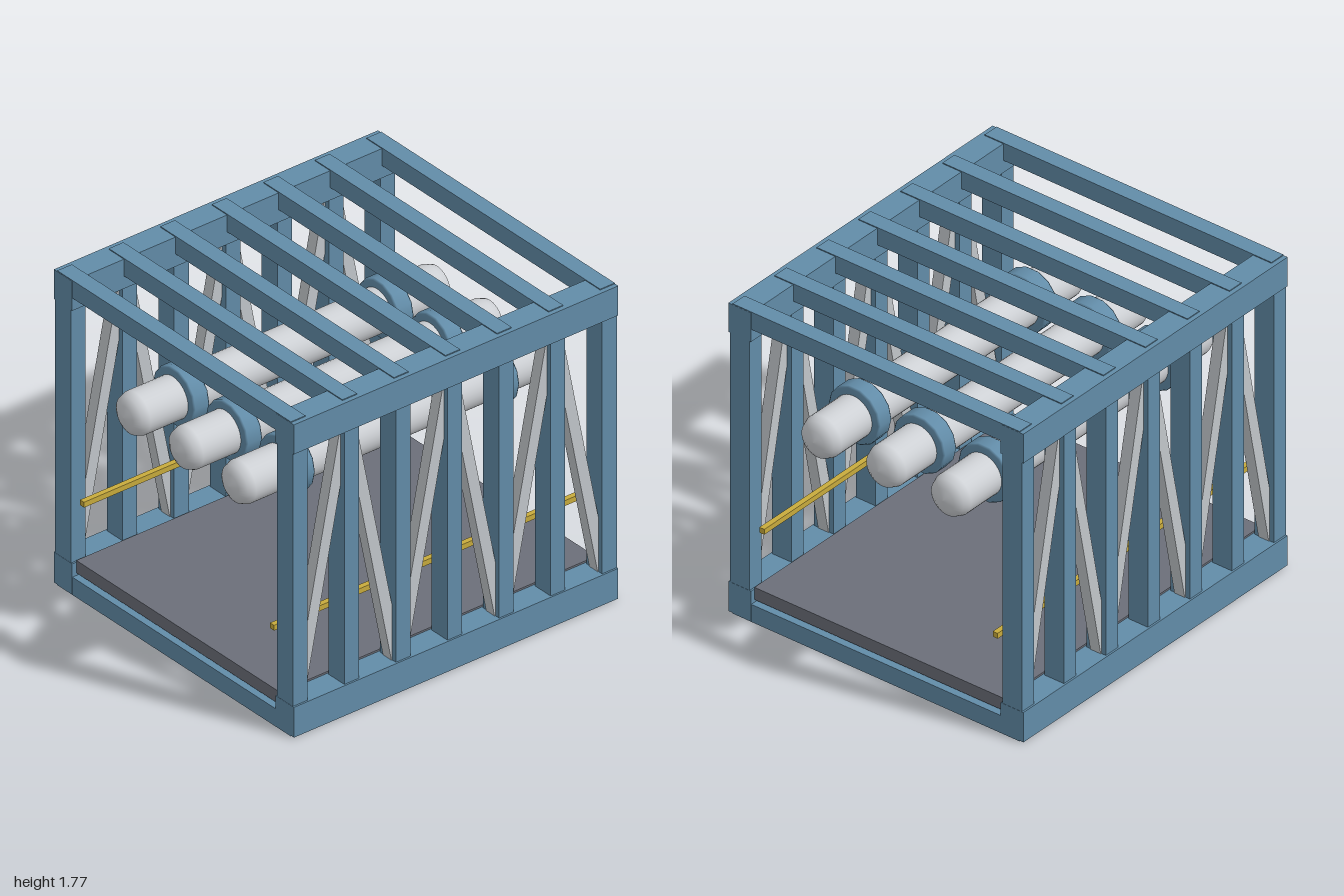
import * as THREE from 'three';

const material = (name, color) => {
  const m = new THREE.MeshStandardMaterial({ color });
  m.name = name;
  return m;
};

export function createModel() {
  const group = new THREE.Group();
  const blue = material('steel blue', 0x628ca8);
  const pale = material('pale grey', 0xc2c7cb);
  const silver = material('silver grey', 0xcdd0d4);
  const slate = material('slate grey', 0x6b6f79);
  const yellow = material('mustard yellow', 0xc8ab3c);

  const add = (name, geometry, mat, x, y, z) => {
    const mesh = new THREE.Mesh(geometry, mat);
    mesh.name = name;
    mesh.position.set(x, y, z);
    group.add(mesh);
    return mesh;
  };
  const box = (name, mat, w, h, d, x, y, z) =>
    add(name, new THREE.BoxGeometry(w, h, d), mat, x, y, z);

  const H = 1.77, bay = 0.318, wallZ = 0.84;

  // Seven portal frames: two posts, a roof beam and a floor beam each
  for (let i = -3; i <= 3; i++) {
    const x = i * bay;
    for (const s of [-1, 1]) box('post', blue, 0.09, H - 0.01, 0.12, x, H / 2, s * wallZ);
    box('roofBeam', blue, 0.09, 0.1, 1.77, x, H - 0.05, 0);
    box('floorBeam', blue, 0.09, 0.1, 1.77, x, 0.05, 0);
  }

  for (const s of [-1, 1]) {
    // Long rails along the top and bottom of each side wall
    box('topRail', blue, 2, 0.166, 0.14, 0, 1.682, s * wallZ);
    box('bottomRail', blue, 2, 0.17, 0.14, 0, 0.09, s * wallZ);

    // Zigzag diagonal braces between the rails
    const rise = 1.59, length = Math.hypot(bay, rise);
    for (let i = 0; i < 6; i++) {
      const brace = box('brace', pale, 0.064, length, 0.064, (i - 2.5) * bay, 0.885, s * wallZ);
      brace.rotation.z = (i % 2 ? 1 : -1) * Math.atan2(bay, rise);
    }

    // Side pipe
    box('sidePipe', yellow, 1.96, 0.03, 0.03, 0, 0.53, s * 0.72);
  }

  // Floor plate
  box('floorPlate', slate, 1.95, 0.07, 1.54, 0, 0.15, 0);

  // Three long vessels with rounded ends, each held by two collars
  const end = [[0, 0.985], [0.06, 0.975], [0.1, 0.95], [0.115, 0.91]];
  const profile = [
    ...end.map(([r, y]) => new THREE.Vector2(r, -y)),
    ...end.slice().reverse().map(([r, y]) => new THREE.Vector2(r, y)),
  ];
  const vessel = new THREE.LatheGeometry(profile, 32).rotateZ(-Math.PI / 2);
  const collarProfile = [[0.11, -0.05], [0.152, -0.05], [0.16, -0.04], [0.16, 0.04], [0.152, 0.05], [0.11, 0.05]]
    .map(([r, y]) => new THREE.Vector2(r, y));
  const collar = new THREE.LatheGeometry(collarProfile, 14).rotateZ(-Math.PI / 2);
  for (const z of [-0.4, 0, 0.4]) {
    add('vessel', vessel, silver, 0, 1.167, z);
    for (const x of [-0.63, 0.63]) add('collar', collar, blue, x, 1.167, z);
  }

  return group;
}
